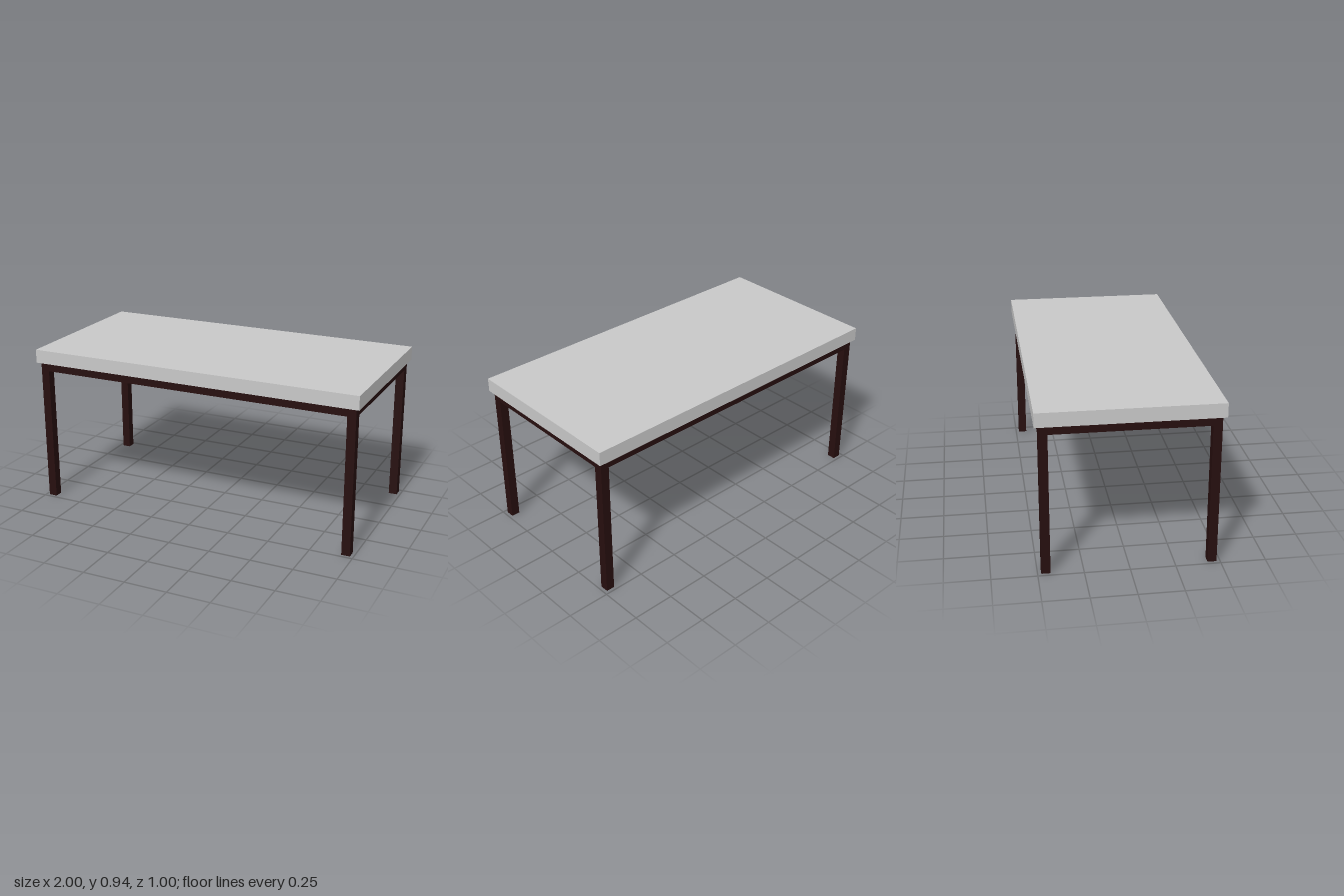
import * as THREE from 'three';

export function createModel() {
  const table = new THREE.Group();
  table.name = 'table';

  const topGrey = new THREE.MeshStandardMaterial({ color: 0xc8c8c8 });
  topGrey.name = 'light grey';
  const frameBrown = new THREE.MeshStandardMaterial({ color: 0x260e0e });
  frameBrown.name = 'dark brown';

  const addBox = (name, material, size, position) => {
    const mesh = new THREE.Mesh(new THREE.BoxGeometry(...size), material);
    mesh.name = name;
    mesh.position.set(...position);
    table.add(mesh);
  };

  const bar = 0.05;               // square section of legs and rails
  const legX = 0.955, legZ = 0.455; // leg centres
  const railTop = 0.86, height = 0.94;
  const skin = 0.006;             // thickness of the hollow tabletop

  // Tabletop: a plate with a skirt, open underneath
  const skirtHeight = height - railTop - skin;
  const skirtY = railTop + skirtHeight / 2;
  addBox('tabletop', topGrey, [2, skin, 1], [0, height - skin / 2, 0]);
  for (const s of [-1, 1]) {
    addBox('tabletopLongEdge', topGrey, [2, skirtHeight, skin], [0, skirtY, s * (0.5 - skin / 2)]);
    addBox('tabletopShortEdge', topGrey, [skin, skirtHeight, 1 - 2 * skin], [s * (1 - skin / 2), skirtY, 0]);
  }

  // Rails and legs
  const railY = railTop - bar / 2;
  for (const s of [-1, 1]) {
    addBox('longRail', frameBrown, [2 * legX - bar, bar, bar], [0, railY, s * legZ]);
    addBox('shortRail', frameBrown, [bar, bar, 2 * legZ - bar], [s * legX, railY, 0]);
    for (const t of [-1, 1]) {
      addBox('leg', frameBrown, [bar, railTop, bar], [s * legX, railTop / 2, t * legZ]);
    }
  }

  return table;
}
